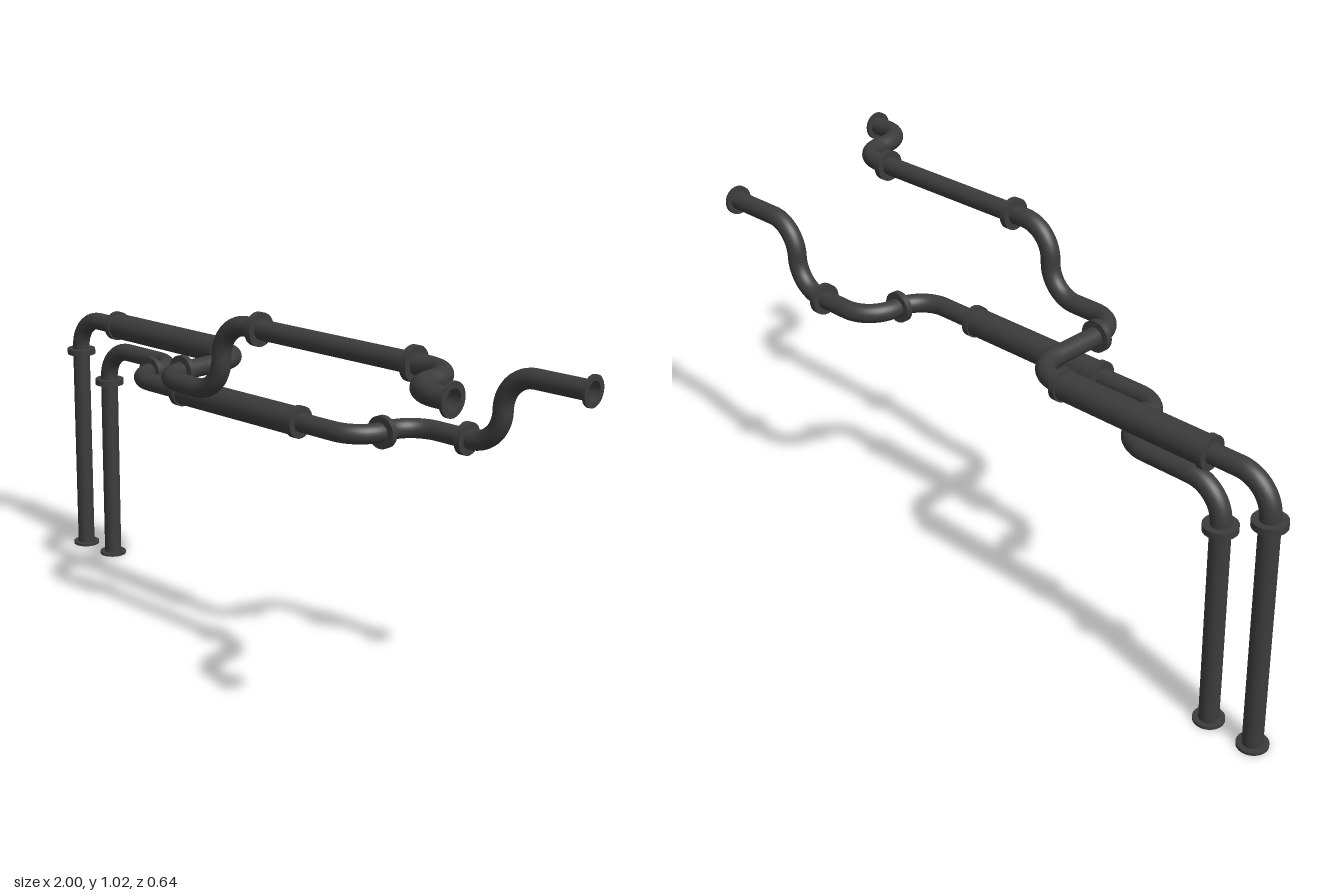
import * as THREE from 'three';

const material = new THREE.MeshStandardMaterial({ color: 0x3c3c3c, side: THREE.DoubleSide });
const PIPE = 0.027, BEND = 0.095;

// Pipe centre line: straight runs joined by quarter-circle elbows
function pipePath(corners) {
  const pts = corners.map(p => new THREE.Vector3(...p));
  const path = new THREE.CurvePath();
  let from = pts[0];
  for (let i = 1; i < pts.length - 1; i++) {
    const inDir = pts[i].clone().sub(pts[i - 1]).normalize();
    const outDir = pts[i + 1].clone().sub(pts[i]).normalize();
    const a = pts[i].clone().addScaledVector(inDir, -BEND);
    const b = pts[i].clone().addScaledVector(outDir, BEND);
    path.add(new THREE.LineCurve3(from, a));
    path.add(new THREE.CubicBezierCurve3(a,
      a.clone().addScaledVector(inDir, BEND * 0.5523),
      b.clone().addScaledVector(outDir, -BEND * 0.5523), b));
    from = b;
  }
  path.add(new THREE.LineCurve3(from, pts[pts.length - 1]));
  path.arcLengthDivisions = 600;
  return path;
}

// Turn a y-aligned part along the given axis and place it
function place(mesh, name, axis, pos) {
  mesh.name = name;
  if (axis === 'x') mesh.rotation.z = -Math.PI / 2;
  if (axis === 'z') mesh.rotation.x = Math.PI / 2;
  mesh.position.set(...pos);
  return mesh;
}

// Flat ring around the pipe with crisp edges
function ring(name, axis, pos, radius, thickness) {
  const shape = new THREE.Shape().absarc(0, 0, radius, 0, Math.PI * 2);
  shape.holes.push(new THREE.Path().absarc(0, 0, PIPE - 0.001, 0, Math.PI * 2, true));
  const g = new THREE.ExtrudeGeometry(shape, { depth: thickness, bevelEnabled: false, curveSegments: 32 });
  g.translate(0, 0, -thickness / 2).rotateX(Math.PI / 2);
  return place(new THREE.Mesh(g, material), name, axis, pos);
}

// One complete line: pipe, couplings, thick sleeve and open end flanges
function pipeline(name, { corners, couplings, sleeve }) {
  const group = new THREE.Group();
  group.name = name;
  const pipe = new THREE.Mesh(new THREE.TubeGeometry(pipePath(corners), 360, PIPE, 24), material);
  pipe.name = 'pipe';
  group.add(pipe);

  for (const [axis, ...pos] of couplings) group.add(ring('coupling', axis, pos, 0.045, 0.018));

  const [x0, x1, y, z] = sleeve;
  const body = new THREE.Mesh(new THREE.CylinderGeometry(0.04, 0.04, x1 - x0, 32), material);
  group.add(place(body, 'sleeve', 'x', [(x0 + x1) / 2, y, z]));
  for (const x of [x0, x1]) group.add(ring('sleeveCollar', 'x', [x, y, z], 0.045, 0.018));

  const [sx, , sz] = corners[0];
  const [ex, ey, ez] = corners[corners.length - 1];
  group.add(ring('baseFlange', 'y', [sx, 0.004, sz], 0.042, 0.008));
  group.add(ring('endFlange', 'x', [ex - 0.004, ey, ez], 0.042, 0.008));
  return group;
}

export function createModel() {
  const model = new THREE.Group();
  model.name = 'pipework';
  const back = -0.273;

  model.add(pipeline('upperPipeline', {
    corners: [
      [-0.957, 0, back], [-0.957, 0.779, back], [-0.193, 0.779, back], [-0.193, 0.779, 0.078],
      [0.067, 0.779, 0.078], [0.067, 0.978, 0.078], [0.86, 0.978, 0.078], [0.86, 0.978, 0.276],
      [1, 0.978, 0.276],
    ],
    couplings: [
      ['y', -0.957, 0.667, back], ['z', -0.193, 0.779, -0.02],
      ['x', 0.207, 0.978, 0.078], ['x', 0.725, 0.978, 0.078],
    ],
    sleeve: [-0.773, -0.307, 0.779, back],
  }));

  model.add(pipeline('lowerPipeline', {
    corners: [
      [-0.818, 0, back], [-0.818, 0.7, back], [-0.485, 0.7, back], [-0.485, 0.7, -0.074],
      [0.432, 0.7, -0.074], [0.432, 0.7, back], [0.735, 0.7, back], [0.735, 0.897, back],
      [1, 0.897, back],
    ],
    couplings: [
      ['y', -0.818, 0.59, back], ['z', -0.485, 0.7, -0.16],
      ['z', 0.432, 0.7, -0.16], ['x', 0.625, 0.7, back],
    ],
    sleeve: [-0.255, 0.21, 0.7, -0.074],
  }));
  return model;
}
